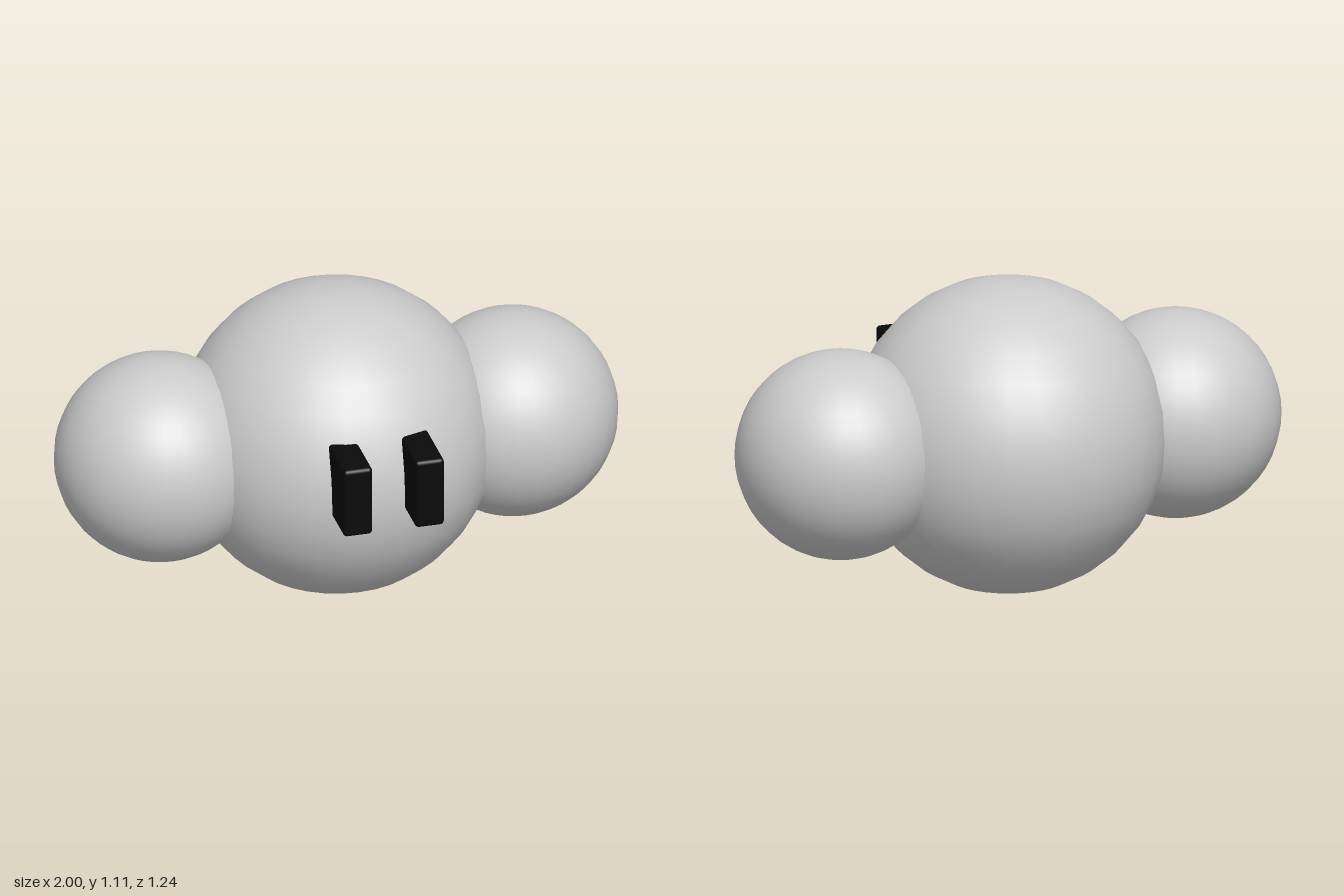
import * as THREE from 'three';
import { RoundedBoxGeometry } from 'three/addons/geometries/RoundedBoxGeometry.js';

export function createModel() {
  const model = new THREE.Group();
  const grey = new THREE.MeshStandardMaterial({ color: 0xcccccc });
  const black = new THREE.MeshStandardMaterial({ color: 0x0a0a0a });

  function add(name, geometry, material, x, y, z) {
    const mesh = new THREE.Mesh(geometry, material);
    mesh.name = name;
    mesh.position.set(x, y, z);
    model.add(mesh);
  }

  // Round head with a large ear sunk into each side
  const centreY = 0.555, centreZ = -0.065;
  add('head', new THREE.SphereGeometry(0.555, 32, 16), grey, 0, centreY, centreZ);
  const ear = new THREE.SphereGeometry(0.367, 32, 24);
  add('leftEar', ear, grey, 0.633, centreY + 0.003, centreZ);
  add('rightEar', ear, grey, -0.633, centreY + 0.003, centreZ);

  // Block eyes, set slightly off centre, with softened edges
  const eye = new RoundedBoxGeometry(0.104, 0.26, 0.26, 3, 0.014);
  add('leftEye', eye, black, 0.152, 0.656, 0.488);
  add('rightEye', eye, black, -0.105, 0.656, 0.488);

  return model;
}
